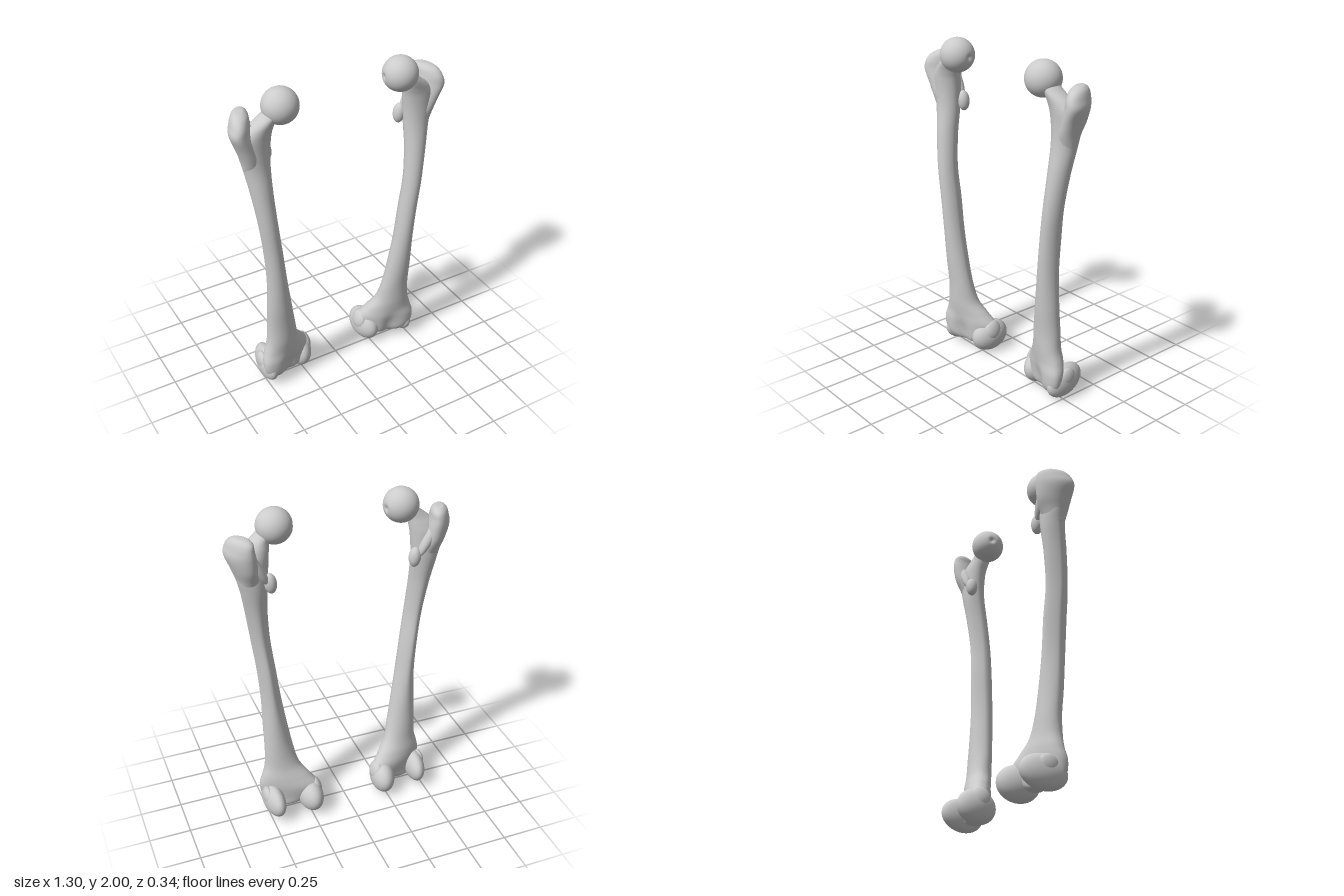
import * as THREE from 'three';

const material = new THREE.MeshStandardMaterial({ color: 0xcccccc });

// Smooth value through evenly spaced control values
function spline(rows, t, k) {
  const last = rows.length - 1;
  const i = Math.min(Math.floor(t), last - 1), f = t - i;
  const p = (n) => rows[Math.max(0, Math.min(last, n))][k];
  const a = p(i - 1), b = p(i), c = p(i + 1), d = p(i + 2);
  return b + 0.5 * f * (c - a + f * (2 * a - 5 * b + 4 * c - d + f * (3 * (b - c) + d - a)));
}

// Stack of level sections, listed upwards: [y, xMin, xMax, zMin, zMax, back pinch, skew]
function loft(rows, warp = () => 0, steps = 6, sides = 56) {
  const pos = [], index = [];
  const rings = (rows.length - 1) * steps;
  for (let r = 0; r <= rings; r++) {
    const [y, x0, x1, z0, z1, pinch, skew] = [0, 1, 2, 3, 4, 5, 6].map((k) => spline(rows, r / steps, k));
    const rx = (x1 - x0) / 2, depth = (z1 - z0) / 2;
    const rz = Math.sqrt(Math.max(depth * depth - (skew * rx) ** 2, 1e-6));
    for (let s = 0; s < sides; s++) {
      const a = (s / sides) * Math.PI * 2;
      const dx = rx * Math.cos(a) * (1 - pinch * Math.max(0, -Math.sin(a)));
      const x = (x0 + x1) / 2 + dx;
      const z = (z0 + z1) / 2 + rz * Math.sin(a) + skew * dx;
      pos.push(x, y, z + warp(x, y, Math.sin(a)));
      if (r < rings) {
        const p = r * sides + s, q = r * sides + ((s + 1) % sides);
        index.push(p, p + sides, q, q, p + sides, q + sides);
      }
    }
  }
  // close both ends
  for (const [ring, up] of [[0, false], [rings, true]]) {
    const base = ring * sides;
    for (let s = 1; s < sides - 1; s++) {
      index.push(base, up ? base + s + 1 : base + s, up ? base + s : base + s + 1);
    }
  }
  const g = new THREE.BufferGeometry();
  g.setAttribute('position', new THREE.Float32BufferAttribute(pos, 3));
  g.setIndex(index);
  g.computeVertexNormals();
  return g;
}

// Turned ellipsoid
function blob(center, radii, turn = [0, 0, 0]) {
  const m = new THREE.Matrix4().compose(
    new THREE.Vector3(...center),
    new THREE.Quaternion().setFromEuler(new THREE.Euler(...turn)),
    new THREE.Vector3(...radii));
  return new THREE.SphereGeometry(1, 40, 28).applyMatrix4(m);
}

// Ball with a small pit on its inner side
function headGeometry() {
  const profile = [];
  for (let i = 0; i <= 48; i++) {
    const a = Math.PI * (1 - i / 48);
    const r = 0.101 - 0.014 * Math.exp(-((a / 0.17) ** 2));
    profile.push(new THREE.Vector2(Math.max(0, r * Math.sin(a)), r * Math.cos(a)));
  }
  return new THREE.LatheGeometry(profile, 48)
    .rotateZ(Math.PI / 2 + 0.05).rotateY(-0.15).translate(0.367, 1.899, 0.068);
}

// Shaft, flaring into the knee end below and leaning into the neck above
const shaftRows = [
  [0.045, 0.34, 0.41, -0.02, 0.04, 0, 0],
  [0.055, 0.28, 0.48, -0.05, 0.075, 0, 0.15],
  [0.10, 0.215, 0.52, -0.07, 0.1, 0, 0.28],
  [0.18, 0.19, 0.53, -0.085, 0.107, -0.1, 0.3],
  [0.25, 0.235, 0.515, -0.065, 0.102, -0.1, 0.22],
  [0.33, 0.288, 0.495, -0.038, 0.108, -0.05, 0.12],
  [0.45, 0.315, 0.49, -0.022, 0.113, 0.05, 0],
  [0.6, 0.34, 0.49, -0.01, 0.125, 0.15, 0],
  [0.8, 0.37, 0.49, 0, 0.135, 0.3, 0],
  [1.0, 0.393, 0.503, 0.002, 0.14, 0.35, 0],
  [1.2, 0.416, 0.527, 0.008, 0.14, 0.35, 0],
  [1.4, 0.428, 0.555, -0.01, 0.125, 0.25, 0],
  [1.55, 0.427, 0.58, -0.03, 0.107, 0.1, 0],
  [1.65, 0.423, 0.6, -0.035, 0.105, 0, 0],
  [1.74, 0.415, 0.6, -0.03, 0.11, 0, 0],
  [1.79, 0.407, 0.565, -0.015, 0.115, 0, 0],
  [1.825, 0.4, 0.525, 0, 0.12, 0, 0],
  [1.855, 0.39, 0.487, 0.01, 0.122, 0, 0],
  [1.89, 0.36, 0.45, 0.02, 0.12, 0, 0],
];

// Shallow groove on the front of the knee end
const kneeGroove = (x, y, front) => {
  const low = 1 - THREE.MathUtils.smoothstep(y, 0.1, 0.27);
  return -0.028 * low * Math.max(0, front) * Math.exp(-(((x - 0.365) / 0.05) ** 2));
};

// Outer crest of the hip end, hooked inwards at the back
const trochanterRows = [
  [1.56, 0.47, 0.582, -0.01, 0.09, 0, 0],
  [1.63, 0.47, 0.598, -0.04, 0.105, 0, 0.2],
  [1.70, 0.485, 0.622, -0.07, 0.113, 0, 0.4],
  [1.78, 0.5, 0.651, -0.084, 0.12, 0, 0.6],
  [1.83, 0.51, 0.642, -0.084, 0.113, 0, 0.7],
  [1.868, 0.515, 0.625, -0.074, 0.085, 0, 0.7],
  [1.888, 0.535, 0.598, -0.045, 0.04, 0, 0.6],
  [1.892, 0.56, 0.568, -0.012, 0.0, 0, 0],
];

const parts = {
  shaftAndNeck: () => loft(shaftRows, kneeGroove),
  head: headGeometry,
  greaterTrochanter: () => loft(trochanterRows),
  lesserTrochanter: () => blob([0.425, 1.605, -0.015], [0.035, 0.06, 0.036], [0, 0, -0.1]),
  trochanterCrest: () => blob([0.5, 1.715, -0.025], [0.03, 0.12, 0.034], [0, 0, -0.49]),
  outerCondyle: () => blob([0.472, 0.108, -0.03], [0.06, 0.097, 0.135], [0.12, 0.1, 0]),
  innerCondyle: () => blob([0.243, 0.103, -0.052], [0.074, 0.102, 0.122], [0.1, 0.1, 0]),
  outerEpicondyle: () => blob([0.505, 0.14, -0.02], [0.03, 0.06, 0.06]),
  innerEpicondyle: () => blob([0.205, 0.15, -0.045], [0.037, 0.065, 0.06], [0, 0, -0.2]),
};

// Reflect a geometry across x and turn its faces back outwards
function mirror(g) {
  g.scale(-1, 1, 1);
  const ix = g.index.array;
  for (let i = 0; i < ix.length; i += 3) [ix[i], ix[i + 1]] = [ix[i + 1], ix[i]];
  return g;
}

export function createModel() {
  const model = new THREE.Group();
  model.name = 'thighBonePair';
  for (const side of ['left', 'right']) {
    const bone = new THREE.Group();
    bone.name = side + 'ThighBone';
    for (const [name, build] of Object.entries(parts)) {
      const g = side === 'left' ? build() : mirror(build());
      const mesh = new THREE.Mesh(g, material);
      mesh.name = name;
      bone.add(mesh);
    }
    model.add(bone);
  }
  return model;
}
